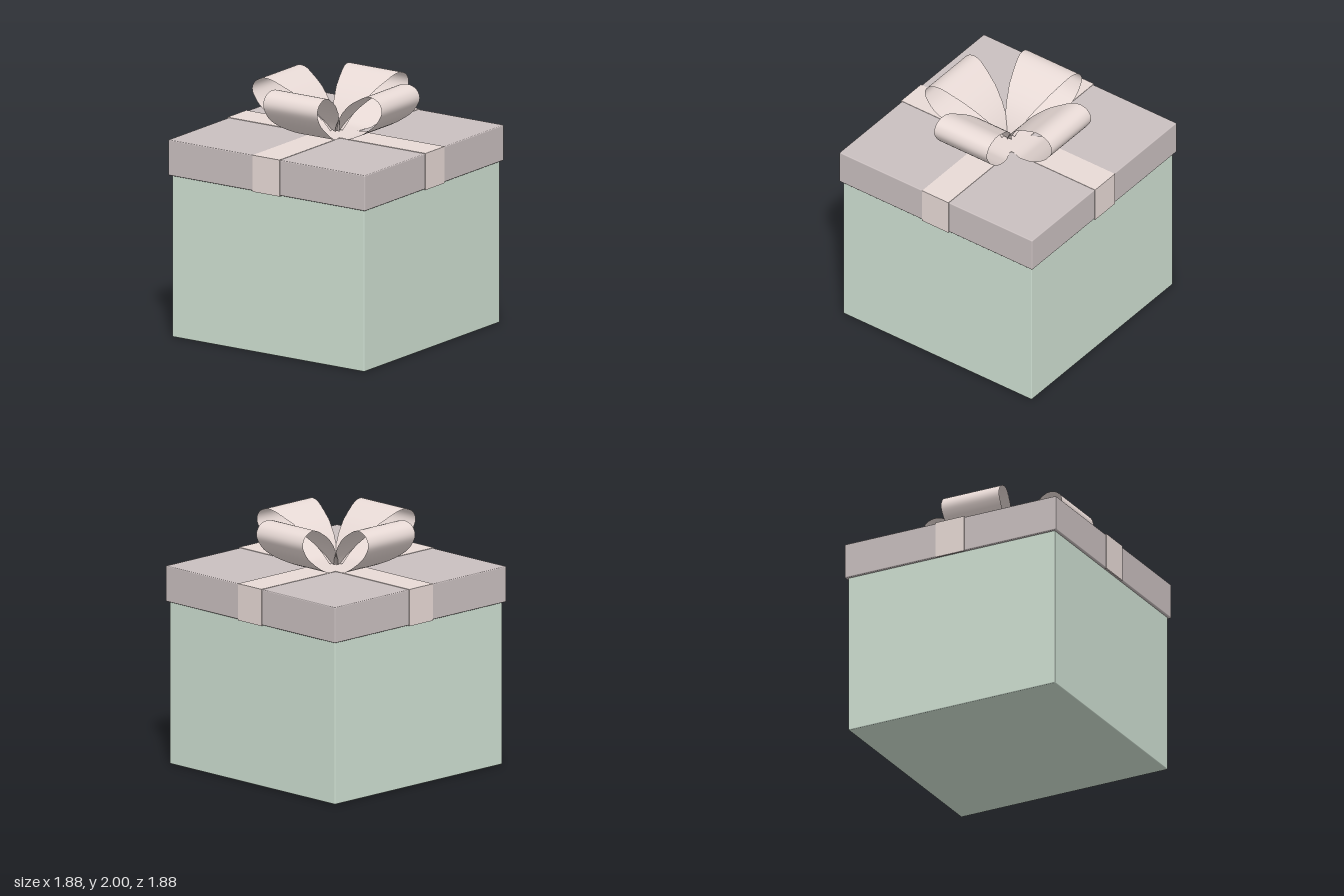
import * as THREE from 'three';
import { RoundedBoxGeometry } from 'three/addons/geometries/RoundedBoxGeometry.js';

const mat = (color, side = THREE.FrontSide) => new THREE.MeshStandardMaterial({ color, side });

function roundedBlock(name, width, y0, y1, material) {
  const mesh = new THREE.Mesh(new RoundedBoxGeometry(width, y1 - y0, width, 2, 0.008), material);
  mesh.position.y = (y0 + y1) / 2;
  mesh.name = name;
  return mesh;
}

// Band that runs over the lid and down both sides
function ribbonBand(top, material) {
  const out = 0.942, inner = 0.93, bottom = 1.295, under = 1.578, half = 0.128;
  const shape = new THREE.Shape([
    [-out, bottom], [-inner, bottom], [-inner, under], [inner, under],
    [inner, bottom], [out, bottom], [out, top], [-out, top],
  ].map(([x, y]) => new THREE.Vector2(x, y)));
  const geo = new THREE.ExtrudeGeometry(shape, { depth: half * 2, bevelEnabled: false });
  geo.translate(0, 0, -half);
  return new THREE.Mesh(geo, material);
}

// One bow loop along +x: a strip swept along a loop, pinched towards the middle
function bowLoopGeometry() {
  const path = new THREE.SplineCurve([
    [0.02, 1.592], [0.12, 1.592], [0.22, 1.597], [0.3, 1.625], [0.42, 1.685], [0.54, 1.77],
    [0.6, 1.85], [0.615, 1.905], [0.595, 1.955], [0.555, 1.985], [0.5, 1.997],
    [0.44, 1.985], [0.37, 1.95], [0.26, 1.885], [0.15, 1.79], [0.07, 1.69], [0.022, 1.605],
  ].map(([x, y]) => new THREE.Vector2(x, y)));
  const width = new THREE.SplineCurve([
    [0.02, 0.047], [0.1, 0.098], [0.2, 0.148], [0.3, 0.19], [0.4, 0.223], [0.5, 0.247], [0.62, 0.257],
  ].map(([x, y]) => new THREE.Vector2(x, y)));
  // Half width at a distance from the middle
  const widthPoints = width.getPoints(60);
  const halfWidth = (r) => (widthPoints.find((p) => p.x >= r) ?? widthPoints[60]).y;

  const steps = 64, across = 4;
  const geo = new THREE.PlaneGeometry(1, 1, steps, across);
  const pos = geo.attributes.position;
  for (let i = 0; i < pos.count; i++) {
    const p = path.getPoint(THREE.MathUtils.clamp(pos.getX(i) + 0.5, 0, 1));
    pos.setXYZ(i, p.x, p.y, -pos.getY(i) * 2 * halfWidth(p.x));
  }
  geo.computeVertexNormals();
  return geo;
}

export function createModel() {
  const model = new THREE.Group();
  model.name = 'giftBox';
  const boxMat = mat(0xcfe0d2);
  const lidMat = mat(0xc9bfbf);
  const ribbonMat = mat(0xe8dad6);
  const bowMat = mat(0xe8dad6, THREE.DoubleSide);

  // Box and overhanging lid
  model.add(roundedBlock('box', 1.828, 0, 1.4, boxMat));
  model.add(roundedBlock('lid', 1.872, 1.3, 1.586, lidMat));

  // Crossed ribbon bands
  const ribbon = new THREE.Group();
  ribbon.name = 'ribbon';
  [1.589, 1.59].forEach((top, i) => {
    const band = ribbonBand(top, ribbonMat);
    band.rotation.y = i * Math.PI / 2;
    band.name = i ? 'ribbonFrontToBack' : 'ribbonSideToSide';
    ribbon.add(band);
  });
  model.add(ribbon);

  // Four-loop bow
  const bow = new THREE.Group();
  bow.name = 'bow';
  const loopGeo = bowLoopGeometry();
  ['left', 'back', 'right', 'front'].forEach((side, i) => {
    const loop = new THREE.Mesh(loopGeo, bowMat);
    loop.rotation.y = i * Math.PI / 2;
    loop.name = side + 'BowLoop';
    bow.add(loop);
  });
  model.add(bow);

  return model;
}
